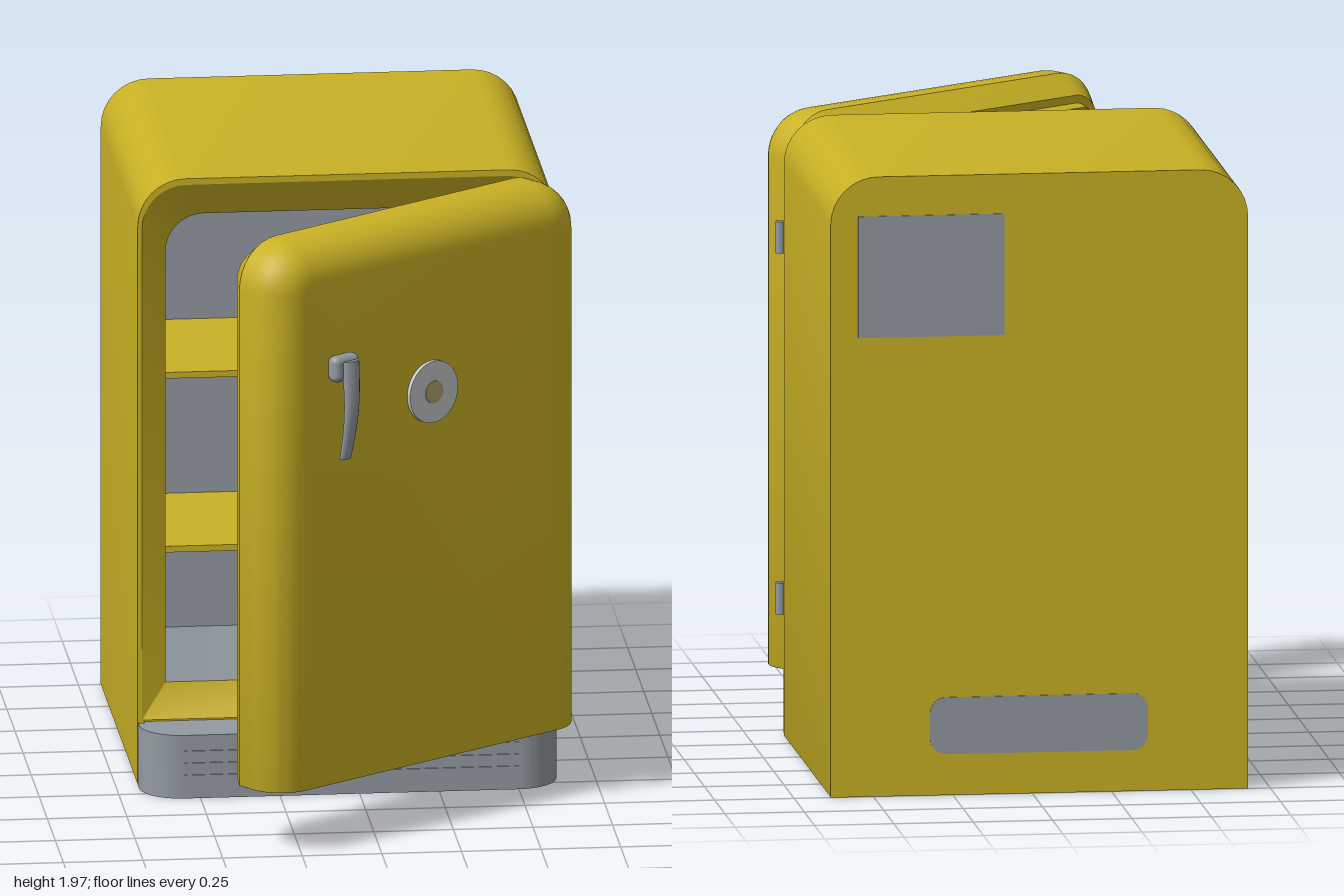
import * as THREE from 'three';
import { toCreasedNormals } from 'three/addons/utils/BufferGeometryUtils.js';
import { RoundedBoxGeometry } from 'three/addons/geometries/RoundedBoxGeometry.js';

const paint = (name, color) => Object.assign(new THREE.MeshStandardMaterial({ color }), { name });

// Cross-section at depth z: rectangle with rounded top (r) and bottom (rb) corners, counter-clockwise
function ring(x0, x1, y0, y1, r, rb, z) {
  const pts = [], n = 8;
  const corners = [[x1 - rb, y0 + rb, rb, -1], [x1 - r, y1 - r, r, 0], [x0 + r, y1 - r, r, 1], [x0 + rb, y0 + rb, rb, 2]];
  for (const [cx, cy, rad, q] of corners) {
    for (let i = 0; i <= n; i++) {
      const a = (q + i / n) * Math.PI / 2;
      pts.push([cx + rad * Math.cos(a), cy + rad * Math.sin(a), z]);
    }
  }
  return pts;
}

// Skin over a list of rings, optionally closed at either end
function loft(rings, capStart, capEnd) {
  const pos = [], n = rings[0].length;
  const tri = (...p) => p.forEach((v) => pos.push(...v));
  for (let i = 0; i < rings.length - 1; i++) {
    for (let j = 0; j < n; j++) {
      const k = (j + 1) % n, a = rings[i], b = rings[i + 1];
      tri(a[j], a[k], b[k]);
      tri(a[j], b[k], b[j]);
    }
  }
  const cap = (p, flip) => {
    for (let j = 1; j < n - 1; j++) flip ? tri(p[0], p[j + 1], p[j]) : tri(p[0], p[j], p[j + 1]);
  };
  if (capStart) cap(rings[0], true);
  if (capEnd) cap(rings[rings.length - 1], false);
  const g = new THREE.BufferGeometry();
  g.setAttribute('position', new THREE.Float32BufferAttribute(pos, 3));
  return toCreasedNormals(g, 0.5);
}

export function createModel() {
  const yellow = paint('yellow enamel', 0xc9b124);
  const grey = paint('grey metal', 0x929aa1);
  const light = paint('light plastic', 0xcbcccc);
  const tan = paint('tan centre', 0xb8a473);

  const model = new THREE.Group();
  model.name = 'refrigerator';
  const add = (parent, name, geo, mat, x = 0, y = 0, z = 0) => {
    const m = new THREE.Mesh(geo, mat);
    m.name = name;
    m.position.set(x, y, z);
    parent.add(m);
    return m;
  };
  // Box given by its limits
  const box = (parent, name, mat, x0, x1, y0, y1, z0, z1) => add(parent, name,
    new THREE.BoxGeometry(x1 - x0, y1 - y0, z1 - z0), mat, (x0 + x1) / 2, (y0 + y1) / 2, (z0 + z1) / 2);

  // Cabinet shell with a sloping frame around the opening
  const opening = (z) => ring(-0.585, 0.54, 0.31, 1.83, 0.12, 0.002, z);
  add(model, 'cabinet', loft([
    ring(-0.68, 0.635, 0, 1.965, 0.15, 0.002, -1),
    ring(-0.68, 0.635, 0, 1.965, 0.15, 0.002, 0.145),
    ring(-0.667, 0.622, 0.21, 1.945, 0.14, 0.002, 0.145),
    opening(0.07),
  ], true, false), yellow);

  // Inner compartment and its shelves
  add(model, 'compartment', loft([opening(0.07), opening(-0.55)], false, true), grey);
  for (const y of [1.3, 0.735]) box(model, 'shelf', yellow, -0.584, 0.539, y - 0.01, y + 0.01, -0.549, 0.05);

  // Base plinth with rounded front corners; shape is drawn in x and -z
  const plinth = new THREE.Shape();
  plinth.moveTo(-0.68, -0.16);
  plinth.lineTo(-0.68, -0.185);
  plinth.absarc(-0.55, -0.185, 0.13, Math.PI, Math.PI * 1.5, false);
  plinth.absarc(0.5, -0.185, 0.13, Math.PI * 1.5, Math.PI * 2, false);
  plinth.lineTo(0.63, -0.16);
  const plinthGeo = new THREE.ExtrudeGeometry(plinth, { depth: 0.205, bevelEnabled: false, curveSegments: 10 });
  plinthGeo.rotateX(-Math.PI / 2);
  add(model, 'plinth', toCreasedNormals(plinthGeo, 0.5), grey);
  box(model, 'plinthNeck', grey, -0.66, 0.61, 0.02, 0.205, 0.14, 0.165);
  for (const y of [0.142, 0.103, 0.064]) box(model, 'ventSlat', grey, -0.55, 0.5, y - 0.0125, y + 0.0125, 0.312, 0.319);

  // Plates on the back
  box(model, 'ratingPlate', grey, 0.087, 0.548, 1.455, 1.84, -1.003, -0.998);
  add(model, 'backVent', loft([ring(-0.365, 0.322, 0.13, 0.31, 0.05, 0.05, -1.003),
    ring(-0.365, 0.322, 0.13, 0.31, 0.05, 0.05, -0.998)], true, false), grey);

  // Hinges
  for (const y of [1.58, 0.435]) {
    add(model, 'hingePin', new THREE.CylinderGeometry(0.016, 0.016, 0.1, 16), grey, 0.645, y, 0.155);
    box(model, 'hingeLeaf', grey, 0.6, 0.645, y - 0.05, y + 0.05, 0.143, 0.168);
  }

  // Door, swung open around the vertical axis
  const door = new THREE.Group();
  door.name = 'door';
  door.rotation.y = THREE.MathUtils.degToRad(35.5);
  model.add(door);
  const slab = (inset, z, lift = 0) => ring(-0.88 + inset, 0.41 - inset, 0.205 + lift, 1.965 - inset,
    Math.max(0.15 - inset, 0.05), 0.002, z);
  const doorRings = [
    slab(0.14, 0.45, 0.15), slab(0.115, 0.37, 0.085), // recessed inner panel
    slab(0.095, 0.37, 0.045), slab(0.085, 0.4, 0.03), // raised liner
    slab(0.06, 0.4), slab(0, 0.48),
  ];
  for (let i = 0; i <= 8; i++) { // rounded front edge
    const a = i / 8 * Math.PI / 2;
    doorRings.push(slab(0.12 * (1 - Math.cos(a)), 0.538 + 0.12 * Math.sin(a)));
  }
  add(door, 'doorPanel', loft(doorRings, true, true), yellow);

  // Door racks with end posts
  for (const y of [0.495, 0.905, 1.325]) {
    box(door, 'doorRack', light, -0.705, 0.235, y, y + 0.13, 0.345, 0.452);
    for (const x of [-0.705, 0.22]) box(door, 'rackPost', light, x, x + 0.015, y + 0.13, y + 0.25, 0.36, 0.452);
  }

  // Round badge
  const disc = (name, r, depth, mat, z) => {
    const g = new THREE.CylinderGeometry(r, r, depth, 40);
    g.rotateX(Math.PI / 2);
    add(door, name, g, mat, -0.238, 1.405, z);
  };
  disc('badge', 0.1, 0.014, light, 0.664);
  disc('badgeCentre', 0.036, 0.006, tan, 0.671);

  // Handle: mount and a bowed, tapering lever
  add(door, 'handleMount', new RoundedBoxGeometry(0.105, 0.085, 0.05, 4, 0.022), grey, -0.622, 1.56, 0.68);
  const lever = new THREE.CylinderGeometry(0.033, 0.021, 0.32, 16, 12);
  const p = lever.attributes.position;
  for (let i = 0; i < p.count; i++) {
    const t = 0.5 - p.getY(i) / 0.32;
    p.setX(i, p.getX(i) - 0.01 * t);
    p.setZ(i, p.getZ(i) * 0.6 + 0.018 * Math.sin(t * Math.PI) - 0.012 * t);
  }
  lever.computeVertexNormals();
  add(door, 'handleLever', lever, grey, -0.612, 1.425, 0.7);

  return model;
}
